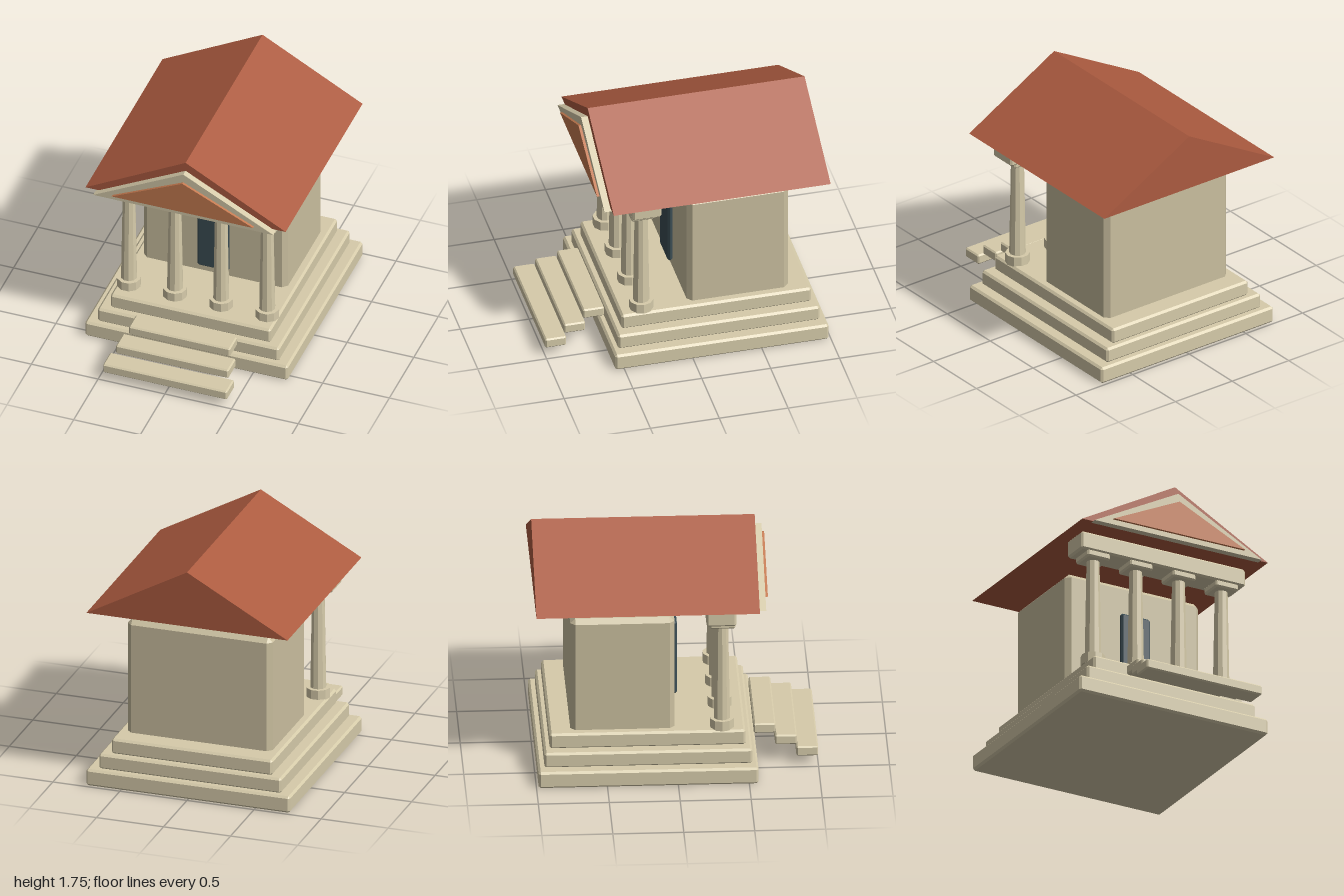
import * as THREE from 'three';
import { ConvexGeometry } from 'three/addons/geometries/ConvexGeometry.js';

const paint = (color) => new THREE.MeshStandardMaterial({ color, flatShading: true });

export function createModel() {
  const model = new THREE.Group();
  model.name = 'temple';
  const stone = paint(0xd6cbaa);
  const wall = paint(0xcabf9f);
  const tile = paint(0xac5b40);
  const clay = paint(0xc57a50);
  const slate = paint(0x3a4c53);

  const add = (name, geometry, material, parent = model) => {
    const mesh = new THREE.Mesh(geometry, material);
    mesh.name = name;
    parent.add(mesh);
    return mesh;
  };

  // Box with chamfered edges, centred on x, given by half width and y / z ranges
  const chamferBox = (name, halfW, [y0, y1], [z0, z1], c, material, parent) => {
    const half = [halfW, (y1 - y0) / 2, (z1 - z0) / 2];
    const points = [];
    for (const sx of [-1, 1]) for (const sy of [-1, 1]) for (const sz of [-1, 1]) {
      for (let axis = 0; axis < 3; axis++) {
        const p = half.map((h, i) => (i === axis ? h : h - c));
        points.push(new THREE.Vector3(sx * p[0], sy * p[1], sz * p[2]));
      }
    }
    const mesh = add(name, new ConvexGeometry(points), material, parent);
    mesh.position.set(0, (y0 + y1) / 2, (z0 + z1) / 2);
    return mesh;
  };

  // Triangular prism along z
  const gable = (name, halfW, [y0, y1], [z0, z1], material) => {
    const shape = new THREE.Shape([
      new THREE.Vector2(-halfW, y0), new THREE.Vector2(halfW, y0), new THREE.Vector2(0, y1),
    ]);
    const geometry = new THREE.ExtrudeGeometry(shape, { depth: z1 - z0, bevelEnabled: false });
    add(name, geometry, material).position.z = z0;
  };

  // Stepped platform
  chamferBox('lowerPlatform', 0.76, [0, 0.125], [-0.985, 0.565], 0.015, stone);
  chamferBox('middlePlatform', 0.68, [0.12, 0.235], [-0.94, 0.525], 0.015, stone);
  chamferBox('upperPlatform', 0.6, [0.23, 0.347], [-0.9, 0.48], 0.015, stone);

  // Front stairs
  for (let i = 0; i < 3; i++) {
    const y = 0.066 + i * 0.072, z = 0.846 - i * 0.148;
    chamferBox('frontStep', 0.465 - i * 0.043, [y, y + 0.074], [z, z + 0.154], 0.01, stone);
  }

  // Inner chamber and door
  chamferBox('chamber', 0.54, [0.31, 1.205], [-0.75, -0.015], 0.035, wall);
  chamferBox('door', 0.118, [0.405, 0.97], [-0.016, 0.022], 0.014, slate);

  // Columns: ten-sided foot and tapered shaft with a square capital
  for (const x of [-0.518, -0.173, 0.173, 0.518]) {
    const column = new THREE.Group();
    column.name = 'column';
    column.position.x = x;
    const tenSided = (name, rTop, rBottom, y0, y1) => {
      const part = add(name, new THREE.CylinderGeometry(rTop, rBottom, y1 - y0, 10), stone, column);
      part.position.set(0, (y0 + y1) / 2, 0.318);
      part.rotation.y = Math.PI / 10;
    };
    tenSided('columnFoot', 0.087, 0.087, 0.342, 0.416);
    tenSided('columnShaft', 0.046, 0.059, 0.4, 1.16);
    chamferBox('capital', 0.092, [1.146, 1.2], [0.227, 0.41], 0.012, stone, column);
    model.add(column);
  }

  // Beam over the columns
  chamferBox('beam', 0.662, [1.19, 1.325], [0.203, 0.415], 0.014, stone);

  // Roof with the pediment and its inner panel
  gable('roof', 0.75, [1.33, 1.745], [-1, 0.575], tile);
  gable('pediment', 0.675, [1.317, 1.675], [0.57, 0.623], stone);
  gable('pedimentPanel', 0.53, [1.355, 1.607], [0.61, 0.642], clay);

  return model;
}
